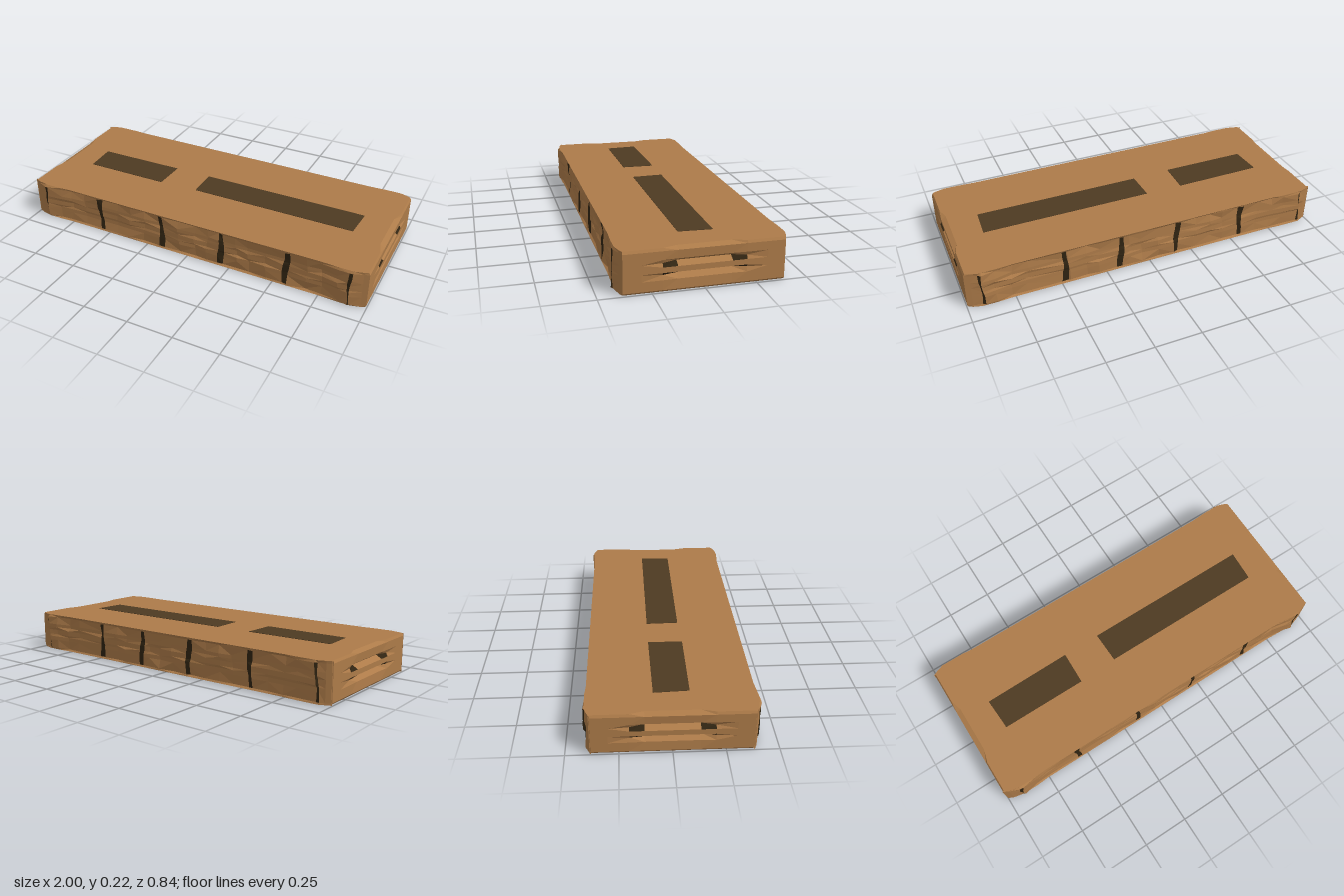
import * as THREE from 'three';

const wood = new THREE.MeshStandardMaterial({ color: 0xad7b49 });
wood.name = 'warm wood'; wood.flatShading = true;
const shadowWood = new THREE.MeshStandardMaterial({ color: 0x4e3a22 });
shadowWood.name = 'dark recess';
const crack = new THREE.MeshStandardMaterial({ color: 0x302412 });
crack.name = 'crack'; crack.flatShading = true;

// Small repeatable noise in -1..1
const noise = (i, j) => {
  const s = Math.sin(i * 127.1 + j * 311.7) * 43758.5453;
  return (s - Math.floor(s)) * 2 - 1;
};

const ROWS = [0.003, 0.012, 0.06, 0.082, 0.095, 0.122, 0.14, 0.158, 0.2, 0.213];
const LAST = ROWS.length - 1;

// Half depth of the slab: straight sides with a knob near each corner
function halfDepth(x) {
  const a = Math.abs(x);
  if (a < 0.78) return 0.405;
  if (a < 0.9) return 0.405 + (a - 0.78) * 0.2;
  return 0.429 - (a - 0.9) * 0.45;
}

// Stations along one long side, with a narrow dark span for each crack
function sideStations(cracks, sign) {
  const fill = [-1, -0.97, -0.82, -0.75, -0.66, -0.44, -0.36, -0.27, -0.05, 0.05, 0.12, 0.29,
    0.36, 0.46, 0.68, 0.76, 0.85, 0.97];
  const list = fill.map((x) => ({ x, crack: false }));
  cracks.forEach((c) => {
    const w = Math.abs(c) > 0.85 ? 0.006 : 0.014;
    list.push({ x: c - w, crack: sign > 0 }, { x: c + w, crack: sign < 0 });
  });
  list.sort((a, b) => (a.x - b.x) * sign);
  return list.map((s) => ({ ...s, z: halfDepth(s.x) * sign, side: true }));
}

// Stations along one end
function endStations(sign) {
  return [0.385, 0.3, 0.2, 0.13, 0.05, -0.05, -0.13, -0.2, -0.3, -0.385]
    .map((z) => ({ x: sign, z: z * sign, side: false }));
}

// One point of the chipped wall
function wallPoint(s, i, j) {
  const edge = j === 0 || j === LAST;
  let { x, z } = s;
  if (s.side) {
    const corner = Math.abs(x) > 0.96;
    const dent = edge ? 0.003 : corner ? 0.004 : 0.004 + 0.006 * (1 + noise(i, j >> 1));
    z = Math.sign(z) * (Math.abs(z) - dent);
    if (edge) z = Math.sign(z) * Math.min(Math.abs(z), 0.407);
    if (!corner) x += Math.sin(j * 0.55 + i) * 0.007;
  } else {
    let dent = edge ? 0.01 : 0.003;
    // two long horizontal gouges across the middle
    const a = Math.abs(z);
    if (a < 0.25 && (j === 3 || j === 6)) dent = a > 0.15 ? 0.012 : 0.035;
    if (a < 0.15 && (j === 2 || j === 7)) dent = 0.006;
    if (j === LAST && a < 0.16) dent = 0.03;
    x = Math.sign(x) * (1 - dent);
  }
  return [x, ROWS[j], z];
}

function meshFrom(points, material, name) {
  const g = new THREE.BufferGeometry();
  g.setAttribute('position', new THREE.Float32BufferAttribute(points.flat(), 3));
  g.computeVertexNormals();
  const m = new THREE.Mesh(g, material);
  m.name = name;
  return m;
}

// Thin dark inlay from its plan corners [x, z]
function inlay(corners, y, name) {
  const shape = new THREE.Shape(corners.map(([x, z]) => new THREE.Vector2(x, -z)));
  const g = new THREE.ExtrudeGeometry(shape, { depth: 0.004, bevelEnabled: false });
  g.rotateX(-Math.PI / 2);
  const m = new THREE.Mesh(g, shadowWood);
  m.position.y = y;
  m.name = name;
  return m;
}

export function createModel() {
  const group = new THREE.Group();
  group.name = 'woodenSlab';

  // Outline running round the slab: front, left end, back, right end
  const ring = [
    ...sideStations([-0.91, -0.55, -0.16, 0.2, 0.57, 0.91], 1),
    ...endStations(1),
    ...sideStations([-0.93, -0.55, -0.16, 0.17, 0.48, 0.92], -1),
    ...endStations(-1),
  ];
  const n = ring.length;
  const grid = ring.map((s, i) => ROWS.map((_, j) => wallPoint(s, i, j)));

  // Walls, with crack cells kept apart
  const woodTris = [], crackTris = [];
  for (let i = 0; i < n; i++) {
    const k = (i + 1) % n, s = ring[i], t = ring[k];
    for (let j = 0; j < LAST; j++) {
      const mid = Math.abs(s.z + t.z) / 2;
      const gouge = !s.side && !t.side && mid > 0.13 && mid < 0.2 && (j === 3 || j === 5);
      const out = (s.crack && j > 0 && j < LAST - 1) || gouge ? crackTris : woodTris;
      const a = grid[i][j], b = grid[k][j], c = grid[k][j + 1], d = grid[i][j + 1];
      if ((i + j) % 2) out.push(a, b, c, a, c, d);
      else out.push(a, b, d, b, c, d);
    }
    // Flat top and bottom
    woodTris.push([0, ROWS[LAST], 0], grid[i][LAST], grid[k][LAST]);
    woodTris.push([0, ROWS[0], 0], grid[k][0], grid[i][0]);
  }
  group.add(meshFrom(woodTris, wood, 'slabBody'), meshFrom(crackTris, crack, 'edgeCracks'));

  // Dark slots on the top and underside
  group.add(
    inlay([[-0.81, 0.09], [-0.335, 0.09], [-0.33, -0.09], [-0.82, -0.085]], 0.211, 'shortTopSlot'),
    inlay([[-0.115, 0.08], [0.81, 0.08], [0.82, -0.09], [-0.12, -0.09]], 0.211, 'longTopSlot'),
    inlay([[-0.82, 0.08], [0.82, 0.08], [0.82, -0.08], [-0.82, -0.08]], 0, 'undersideSlot'),
  );
  return group;
}
